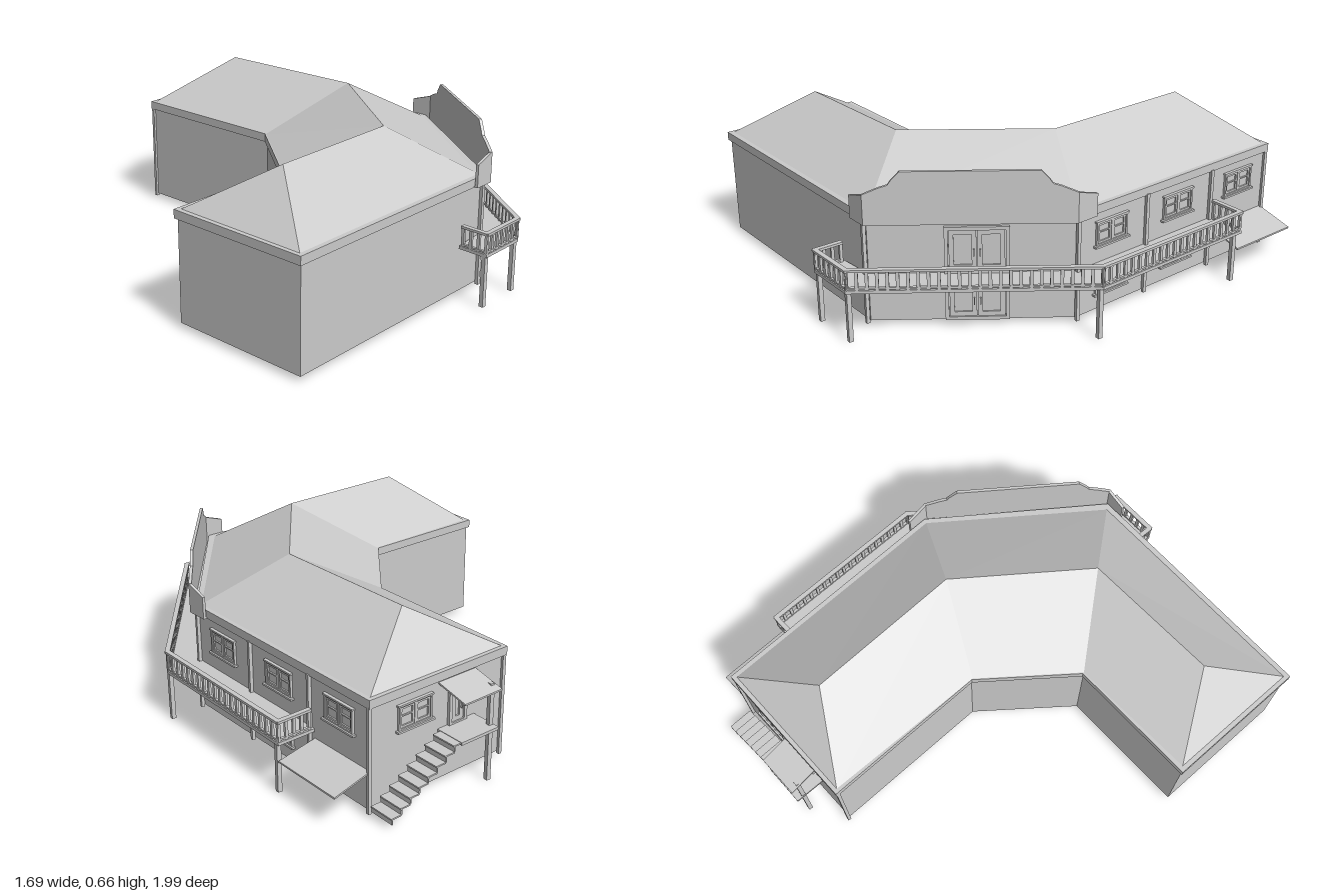
import * as THREE from 'three';

const mat = new THREE.MeshStandardMaterial({ color: 0xcccccc, flatShading: true, side: THREE.DoubleSide });

// Plan outlines as [x, z]
const EAVE = [[-0.08, -0.83], [0.59, -0.89], [0.69, 0.17], [0.27, 0.845], [-0.8, 0.94], [-0.845, 0.325], [-0.275, 0.27], [-0.02, -0.11]];
const WALL = [[-0.07, -0.815], [0.58, -0.875], [0.68, 0.17], [0.262, 0.835], [-0.79, 0.93], [-0.835, 0.335], [-0.27, 0.28], [-0.01, -0.105]];
const ROOF = [[-0.065, -0.815], [0.575, -0.872], [0.672, 0.165], [0.252, 0.825], [-0.785, 0.92], [-0.825, 0.34], [-0.275, 0.275], [-0.02, -0.105]];
const RIDGE = [[0.27, -0.64], [0.335, 0.03], [0, 0.553], [-0.585, 0.62]];
const DECK = [[0.11, 0.86], [0.115, 0.99], [0.335, 0.97], [0.84, 0.165], [0.775, -0.585], [0.61, -0.57], [0.68, 0.17], [0.262, 0.835]];

function add(parent, name, geo) {
  const m = new THREE.Mesh(geo, mat);
  m.name = name;
  parent.add(m);
  return m;
}

function box(parent, name, w, h, d, x, y, z) {
  const m = add(parent, name, new THREE.BoxGeometry(w, h, d));
  m.position.set(x, y, z);
  return m;
}

// Horizontal slab with a plan outline
function slab(parent, name, outline, y0, y1) {
  const shape = new THREE.Shape(outline.map(([x, z]) => new THREE.Vector2(x, -z)));
  const geo = new THREE.ExtrudeGeometry(shape, { depth: y1 - y0, bevelEnabled: false });
  geo.rotateX(-Math.PI / 2).translate(0, y0, 0);
  return add(parent, name, geo);
}

// Group along a->b: local x runs along the wall, local z points outward
function along(parent, name, a, b) {
  const g = new THREE.Group();
  g.name = name;
  g.position.set(a[0], 0, a[1]);
  g.rotation.y = Math.atan2(a[1] - b[1], b[0] - a[0]);
  parent.add(g);
  return { g, len: Math.hypot(b[0] - a[0], b[1] - a[1]) };
}

// Polygon faces from corners listed as [x, y, z]
function faces(parent, name, list) {
  const pos = [];
  for (const f of list)
    for (let i = 1; i < f.length - 1; i++) pos.push(...f[0], ...f[i], ...f[i + 1]);
  const geo = new THREE.BufferGeometry();
  geo.setAttribute('position', new THREE.Float32BufferAttribute(pos, 3));
  geo.computeVertexNormals();
  return add(parent, name, geo);
}

// Rectangular frame with a hole
function frame(parent, name, x, y, w, h, t, depth) {
  const rect = (C, a, b) => new C([[-a, -b], [a, -b], [a, b], [-a, b]].map(p => new THREE.Vector2(...p)));
  const s = rect(THREE.Shape, w / 2, h / 2);
  s.holes.push(rect(THREE.Path, w / 2 - t, h / 2 - t));
  const m = add(parent, name, new THREE.ExtrudeGeometry(s, { depth, bevelEnabled: false }));
  m.position.set(x, y, 0);
}

function windowUnit(parent, x, y) {
  const g = new THREE.Group();
  g.name = 'window';
  g.position.set(x, y, 0);
  parent.add(g);
  frame(g, 'windowFrame', 0, 0, 0.16, 0.1, 0.008, 0.01);
  box(g, 'windowSill', 0.178, 0.008, 0.018, 0, -0.052, 0.008);
  box(g, 'windowLintel', 0.168, 0.007, 0.014, 0, 0.05, 0.006);
  box(g, 'windowMullion', 0.01, 0.09, 0.009, 0, 0, 0.004);
  for (const s of [-1, 1]) {
    frame(g, 'windowSash', s * 0.038, 0, 0.066, 0.082, 0.008, 0.006);
    box(g, 'windowBar', 0.06, 0.005, 0.006, s * 0.038, 0.005, 0.003);
  }
}

function doorUnit(parent, x, y0, w, h, leaves) {
  const g = new THREE.Group();
  g.name = 'door';
  g.position.set(x, y0 + h / 2, 0);
  parent.add(g);
  frame(g, 'doorFrame', 0, 0, w, h, 0.014, 0.012);
  const lw = (w - 0.03) / leaves;
  for (let i = 0; i < leaves; i++) {
    const lx = (i - (leaves - 1) / 2) * lw;
    frame(g, 'doorLeaf', lx, 0, lw - 0.004, h - 0.03, 0.018, 0.007);
    box(g, 'doorHandle', 0.005, 0.03, 0.01, lx + (i ? -1 : 1) * (lw / 2 - 0.012), -0.01, 0.01);
  }
}

function railing(parent, a, b) {
  const { g, len } = along(parent, 'railing', a, b);
  box(g, 'topRail', len + 0.012, 0.01, 0.02, len / 2, 0.302, 0);
  box(g, 'bottomRail', len, 0.007, 0.012, len / 2, 0.229, 0);
  const n = Math.max(2, Math.round(len / 0.038));
  for (let i = 0; i <= n; i++) box(g, 'baluster', 0.013, 0.08, 0.01, (i / n) * len, 0.26, 0);
}

export function createModel() {
  const root = new THREE.Group();
  root.name = 'house';

  // Body, eaves and hipped roof
  slab(root, 'walls', WALL, 0.02, 0.445);
  slab(root, 'eaves', EAVE, 0.435, 0.47);
  const o = ROOF.map(([x, z]) => [x, 0.469, z]);
  const r = RIDGE.map(([x, z]) => [x, 0.655, z]);
  faces(root, 'roof', [
    [o[0], o[1], r[0]], [o[1], o[2], r[1], r[0]], [o[2], o[3], r[2], r[1]], [o[3], o[4], r[3], r[2]],
    [o[4], o[5], r[3]], [o[5], o[6], r[2], r[3]], [o[6], o[7], r[1], r[2]], [o[7], o[0], r[0], r[1]],
  ].map(f => f.reverse()));

  // Stepped parapet over the angled facade, with short returns
  const P = [[0.195, 0.868], [0.285, 0.86], [0.71, 0.19], [0.7, 0.095]];
  const profiles = [
    [[0, 0.53], [1, 0.56]],
    [[0, 0.56], [0.08, 0.587], [0.12, 0.597], [0.135, 0.615], [0.176, 0.65], [0.824, 0.65], [0.865, 0.615], [0.88, 0.597], [0.92, 0.587], [1, 0.56]],
    [[0, 0.56], [1, 0.53]],
  ];
  profiles.forEach((p, i) => {
    const { g, len } = along(root, 'parapet', P[i], P[i + 1]);
    const pts = [[0, 0.437], ...p, [1, 0.437]].map(([t, y]) => new THREE.Vector2(t * len, y));
    add(g, 'parapetPanel', new THREE.ExtrudeGeometry(new THREE.Shape(pts), { depth: 0.012, bevelEnabled: false })).position.z = -0.012;
  });
  slab(root, 'parapetSoffit', [...P, [0.672, 0.1], [0.67, 0.17], [0.26, 0.82], [0.195, 0.83]], 0.436, 0.442);

  // Facade doors on both floors
  const facade = along(root, 'facade', WALL[3], WALL[2]);
  doorUnit(facade.g, facade.len * 0.52, 0.022, 0.245, 0.183, 2);
  doorUnit(facade.g, facade.len * 0.52, 0.222, 0.245, 0.193, 2);

  // Long side wall windows
  const side = along(root, 'sideWall', WALL[2], WALL[1]);
  for (const z of [0, -0.36, -0.715]) {
    windowUnit(side.g, (0.17 - z) * 1.005, 0.345);
    if (z > -0.5) windowUnit(side.g, (0.17 - z) * 1.005, 0.138);
  }

  // End wall window and door
  const end = along(root, 'endWall', WALL[1], WALL[0]);
  windowUnit(end.g, 0.21, 0.345);
  doorUnit(end.g, 0.42, 0.225, 0.09, 0.17, 1);

  // Downpipes
  for (const [x, z] of [[0.255, 0.845], [0.688, 0.172], [0.654, -0.185], [0.62, -0.55], [0.584, -0.88], [-0.072, -0.82]])
    box(root, 'downpipe', 0.014, 0.43, 0.014, x, 0.225, z);

  // Balcony deck, posts and railings
  slab(root, 'deck', DECK, 0.208, 0.221);
  for (const [x, z] of [[0.125, 0.975], [0.325, 0.955], [0.825, 0.17], [0.76, -0.555]])
    box(root, 'deckPost', 0.018, 0.21, 0.018, x, 0.105, z);
  const rail = [[0.116, 0.875], [0.121, 0.983], [0.332, 0.963], [0.833, 0.165], [0.769, -0.577], [0.63, -0.563]];
  for (let i = 0; i < rail.length - 1; i++) railing(root, rail[i], rail[i + 1]);

  // Sloping side awning past the end of the deck
  const quadSlab = (name, a, b, c, d, t) => {
    const low = [a, b, c, d].map(([x, y, z]) => [x, y - t, z]);
    const top = [a, b, c, d];
    faces(root, name, [top, [...low].reverse(), ...top.map((p, i) => [p, low[i], low[(i + 1) % 4], top[(i + 1) % 4]])]);
  };
  quadSlab('sideAwning', [0.605, 0.182, -0.57], [0.77, 0.14, -0.575], [0.74, 0.14, -0.895], [0.58, 0.182, -0.88], 0.007);

  // Rear landing, canopy, post and stairs
  slab(root, 'landing', [[0.07, -0.82], [0.06, -0.96], [0.245, -0.975], [0.255, -0.84]], 0.22, 0.232);
  quadSlab('canopy', [0.07, 0.423, -0.825], [0.255, 0.423, -0.845], [0.24, 0.388, -0.98], [0.055, 0.388, -0.963], 0.007);
  box(root, 'porchPost', 0.018, 0.405, 0.018, 0.075, 0.2, -0.925);
  const stairs = along(root, 'stairs', [0.575, -0.945], [0.24, -0.914]);
  const steps = 8, run = stairs.len / steps, rise = 0.21 / steps;
  for (let i = 0; i < steps; i++) {
    box(stairs.g, 'tread', run + 0.006, 0.006, 0.11, (i + 0.5) * run, 0.02 + (i + 1) * rise - 0.003, 0);
    box(stairs.g, 'riser', 0.005, rise, 0.11, i * run + 0.003, 0.02 + (i + 0.5) * rise, 0);
  }
  return root;
}
